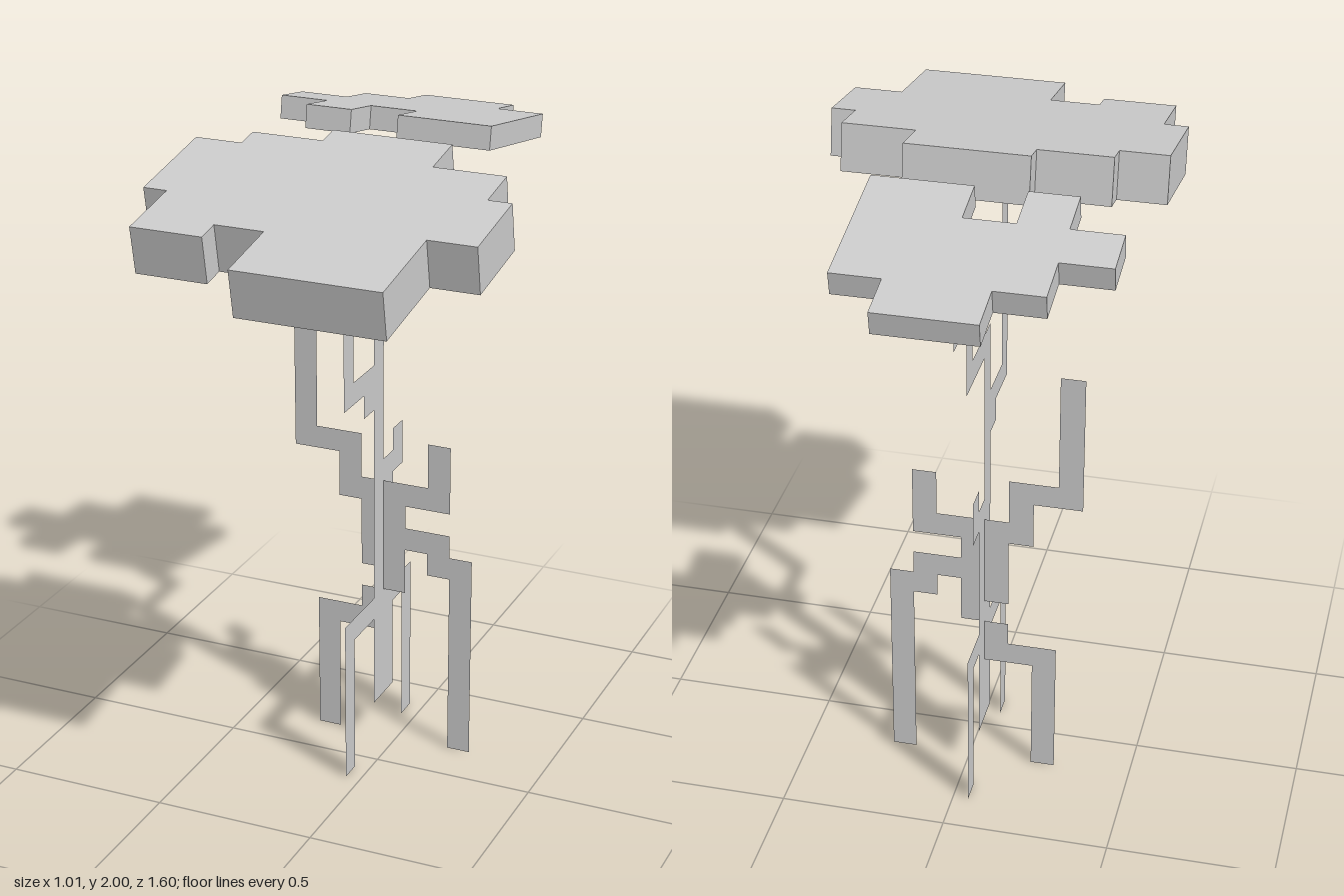
import * as THREE from 'three';

const grey = new THREE.MeshStandardMaterial({ color: 0xcccccc, side: THREE.DoubleSide });
grey.name = 'pale grey';

const toShape = (pts) => new THREE.Shape(pts.map(([x, y]) => new THREE.Vector2(x, y)));

function addMesh(group, name, geometry) {
  const mesh = new THREE.Mesh(geometry, grey);
  mesh.name = name;
  group.add(mesh);
  return mesh;
}

// Open-bottomed slab: a sloping top and walls square to it.
// The outline is clockwise from above in (x, z); slope is dy/dz.
function addCanopy(group, name, outline, zHigh, slope, depth) {
  const canopy = new THREE.Group();
  canopy.name = name;
  group.add(canopy);
  const height = (z) => 2 + (z - zHigh) * slope;

  const top = new THREE.ShapeGeometry(toShape(outline.map(([x, z]) => [x, -z])));
  top.rotateX(-Math.PI / 2);
  const p = top.attributes.position;
  for (let i = 0; i < p.count; i++) p.setY(i, height(p.getZ(i)));
  top.computeVertexNormals();
  addMesh(canopy, name + 'Top', top);

  const drop = new THREE.Vector3(0, -1, slope).normalize().multiplyScalar(depth);
  const corners = [];
  outline.forEach(([x, z], i) => {
    const [x2, z2] = outline[(i + 1) % outline.length];
    const a = new THREE.Vector3(x, height(z), z);
    const b = new THREE.Vector3(x2, height(z2), z2);
    const c = b.clone().add(drop);
    const d = a.clone().add(drop);
    corners.push(a, b, c, a, c, d);
  });
  const walls = new THREE.BufferGeometry().setFromPoints(corners);
  walls.computeVertexNormals();
  addMesh(canopy, name + 'Walls', walls);
}

export function createModel() {
  const tree = new THREE.Group();
  tree.name = 'tree';

  // Flat trunk cut-outs facing front: branches with one root, and a separate root
  const branches = toShape([
    [-0.34, 1.387], [-0.34, 0.95], [-0.194, 0.95], [-0.194, 0.804], [-0.12, 0.804],
    [-0.12, 0.586], [-0.047, 0.586], [-0.047, 0.512], [0.025, 0.512], [0.025, 0.658],
    [0.098, 0.658], [0.098, 0.586], [0.171, 0.586], [0.171, 0], [0.244, 0],
    [0.244, 0.658], [0.171, 0.658], [0.171, 0.731], [0.025, 0.731], [0.025, 0.804],
    [0.171, 0.804], [0.171, 1.021], [0.098, 1.021], [0.098, 0.878], [-0.12, 0.878],
    [-0.12, 1.021], [-0.267, 1.021], [-0.267, 1.387],
  ]);
  const root = toShape([
    [-0.267, 0], [-0.194, 0], [-0.194, 0.37], [-0.047, 0.37], [-0.047, 0.512],
    [-0.12, 0.512], [-0.12, 0.44], [-0.267, 0.44],
  ]);
  addMesh(tree, 'crossTrunk', new THREE.ShapeGeometry([branches, root])).position.z = -0.155;

  // Flat trunk cut-out facing sideways, in (z, y)
  const side = new THREE.ShapeGeometry(toShape([
    [0.135, 0], [0.065, 0], [0.065, 0.44], [-0.082, 0.44], [-0.082, 0.149],
    [-0.228, 0.149], [-0.228, 0.44], [-0.3, 0.44], [-0.3, 0], [-0.372, 0],
    [-0.372, 0.512], [-0.228, 0.512], [-0.228, 0.88], [-0.3, 0.88], [-0.3, 1.022],
    [-0.228, 1.022], [-0.228, 0.95], [-0.155, 0.95], [-0.155, 1.424], [-0.372, 1.424],
    [-0.372, 1.645], [-0.519, 1.645], [-0.519, 1.9], [-0.447, 1.9], [-0.447, 1.716],
    [-0.3, 1.716], [-0.3, 1.498], [-0.082, 1.498], [-0.082, 1.278], [0.065, 1.278],
    [0.065, 1.832], [0.135, 1.832], [0.135, 1.208], [-0.01, 1.208], [-0.01, 1.135],
    [-0.082, 1.135], [-0.082, 0.512], [0.135, 0.512],
  ]));
  side.rotateY(-Math.PI / 2);
  addMesh(tree, 'sideTrunk', side).position.x = -0.047;

  // Leaf canopies, sloping away from each other
  const slope = Math.tan(Math.PI / 18);
  addCanopy(tree, 'frontCanopy', [
    [-0.147, -0.023], [0.217, -0.023], [0.217, 0.119], [0.434, 0.119], [0.434, 0.262],
    [0.505, 0.262], [0.505, 0.513], [0.362, 0.513], [0.362, 0.8], [-0.074, 0.8],
    [-0.074, 0.585], [-0.221, 0.585], [-0.221, 0.657], [-0.438, 0.657], [-0.438, 0.44],
    [-0.51, 0.44], [-0.51, 0.119], [-0.366, 0.119], [-0.366, 0.047], [-0.147, 0.047],
  ], -0.023, -slope, 0.142);
  addCanopy(tree, 'backCanopy', [
    [-0.185, -0.804], [0.106, -0.804], [0.106, -0.666], [0.251, -0.666], [0.251, -0.236],
    [-0.038, -0.236], [-0.038, -0.379], [-0.185, -0.379], [-0.185, -0.236], [-0.328, -0.236],
    [-0.328, -0.379], [-0.477, -0.379], [-0.477, -0.523], [-0.328, -0.523], [-0.328, -0.666],
    [-0.185, -0.666],
  ], -0.236, slope, 0.07);

  return tree;
}
